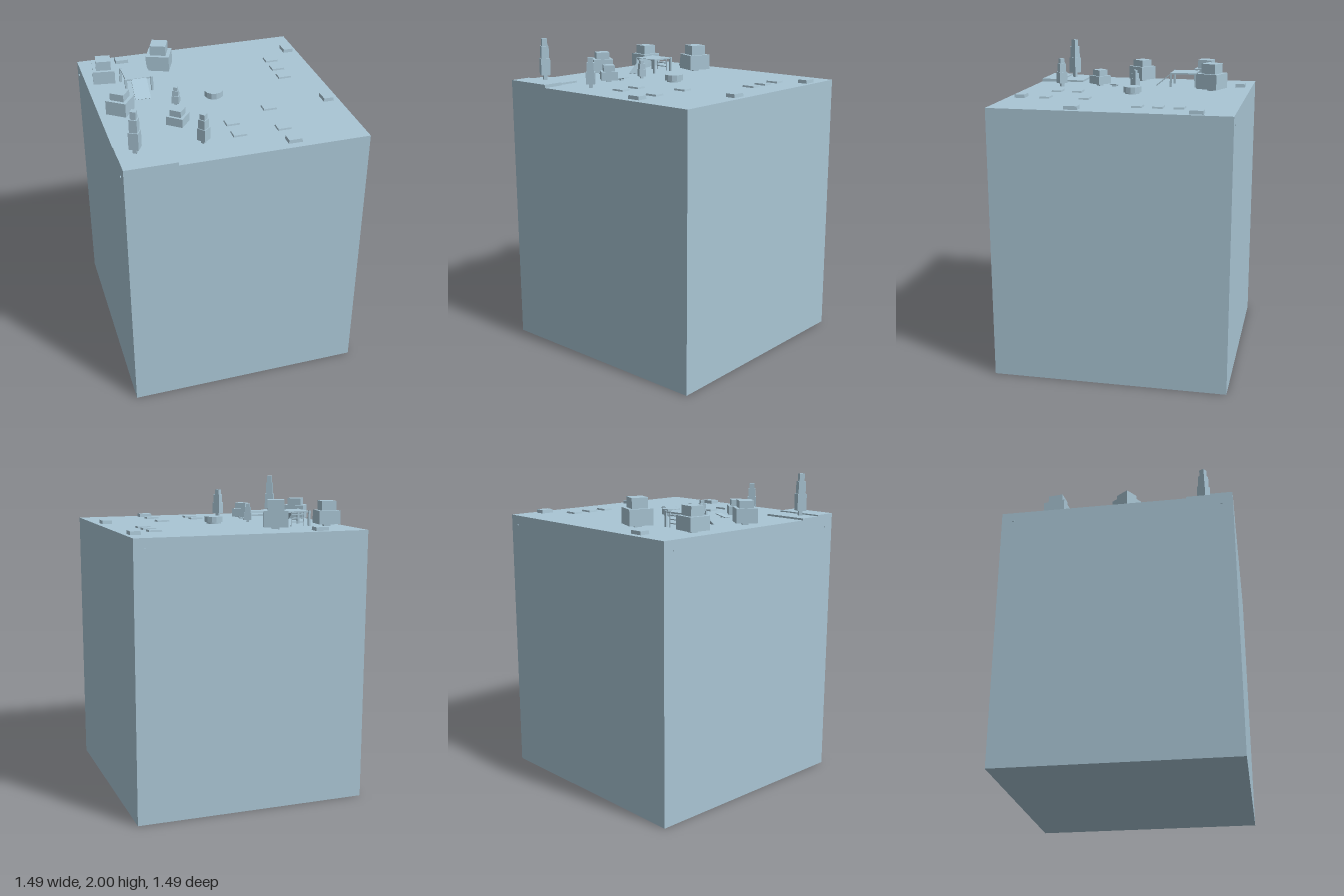
import * as THREE from 'three';

export function createModel() {
  const model = new THREE.Group();
  const paleBlue = new THREE.MeshStandardMaterial({ color: 0xa9c5d4 });
  paleBlue.name = 'paleBlue';
  const GROUND = 1.72;
  const rad = THREE.MathUtils.degToRad;

  function add(parent, name, geometry, x, y, z) {
    const mesh = new THREE.Mesh(geometry, paleBlue);
    mesh.name = name;
    mesh.position.set(x, y, z);
    parent.add(mesh);
    return mesh;
  }
  // Box standing on y, optionally tapered towards its top
  function block(parent, name, [w, h, d], [x, y, z], taper = 1) {
    const geo = new THREE.BoxGeometry(w, h, d);
    const p = geo.attributes.position;
    if (taper !== 1) {
      for (let i = 0; i < p.count; i++) {
        if (p.getY(i) > 0) p.setXYZ(i, p.getX(i) * taper, p.getY(i), p.getZ(i) * taper);
      }
      geo.computeVertexNormals();
    }
    return add(parent, name, geo, x, y + h / 2, z);
  }
  function group(name, x, y, z, degrees = 0) {
    const g = new THREE.Group();
    g.name = name;
    g.position.set(x, y, z);
    g.rotation.y = rad(-degrees);
    model.add(g);
    return g;
  }

  // Ground cube and the two corner terraces
  block(model, 'groundBlock', [1.484, GROUND, 1.484], [0, 0, 0]);
  block(model, 'backTerrace', [0.297, 0.012, 0.15], [-0.5935, GROUND, 0.525]);
  block(model, 'frontTerrace', [0.317, 0.02, 0.142], [-0.5835, GROUND, 0.671]);

  // Low stones: x, z, width, depth, height
  [
    [-0.455, -0.665, 0.086, 0.066, 0.022], [0.68, -0.522, 0.066, 0.086, 0.022],
    [0.672, 0.228, 0.066, 0.086, 0.022], [0.29, 0.662, 0.086, 0.066, 0.022],
    [0.52, -0.397, 0.085, 0.065, 0.011], [0.52, -0.268, 0.085, 0.065, 0.011],
    [0.52, -0.141, 0.085, 0.065, 0.011], [0.282, 0.245, 0.085, 0.065, 0.011],
    [0.282, 0.502, 0.085, 0.065, 0.011], [0.005, 0.364, 0.085, 0.065, 0.011],
    [0.005, 0.502, 0.085, 0.065, 0.011],
  ].forEach(([x, z, w, d, h]) => block(model, 'stone', [w, h, d], [x, GROUND, z], 0.95));

  // Round table
  const table = group('roundTable', 0, GROUND, 0);
  add(table, 'tableFoot', new THREE.CylinderGeometry(0.048, 0.048, 0.012, 12), 0, 0.006, 0);
  const drum = new THREE.CylinderGeometry(0.06, 0.06, 0.037, 12).toNonIndexed();
  drum.computeVertexNormals();
  add(table, 'tableTop', drum, 0, 0.0285, 0);

  // Bushes: x, z, angle, lower size, shoulder height, top height
  [
    [-0.232, -0.492, 22, 0.152, 0.115, 0.18], [-0.623, -0.405, 8, 0.14, 0.1, 0.16],
    [-0.61, 0.052, 36, 0.132, 0.105, 0.15], [-0.31, 0.29, 39, 0.106, 0.07, 0.11],
  ].forEach(([x, z, angle, s, mid, top]) => {
    const bush = group('bush', x, GROUND, z, angle);
    block(bush, 'trunk', [s * 0.3, 0.02, s * 0.3], [0, 0, 0]);
    block(bush, 'lowerLeaves', [s, mid - 0.015, s], [0, 0.015, 0]);
    block(bush, 'upperLeaves', [s * 0.68, top - mid, s * 0.68], [0, mid, 0]);
  });

  // Slender stepped trees: x, z, angle, size, base height, total height
  [
    [-0.63, 0.555, 30, 0.06, 0.012, 0.268], [-0.222, 0.539, 50, 0.056, 0, 0.19],
    [-0.255, 0.034, 27, 0.046, 0, 0.12],
  ].forEach(([x, z, angle, s, base, h]) => {
    const tree = group('slenderTree', x, GROUND + base, z, angle);
    block(tree, 'trunk', [s * 0.4, h * 0.15, s * 0.4], [0, 0, 0]);
    block(tree, 'lowerTier', [s, h * 0.4, s], [0, h * 0.12, 0]);
    block(tree, 'middleTier', [s * 0.8, h * 0.3, s * 0.8], [0, h * 0.52, 0]);
    block(tree, 'topTier', [s * 0.56, h * 0.18, s * 0.56], [0, h * 0.82, 0]);
  });

  // Play frame with deck, legs, ladder and slide
  const frame = group('playFrame', -0.435, GROUND, -0.282);
  block(frame, 'deck', [0.17, 0.01, 0.172], [0, 0.085, 0]);
  for (const sx of [-1, 1]) {
    for (const sz of [-1, 1]) block(frame, 'leg', [0.014, 0.096, 0.014], [sx * 0.084, 0, sz * 0.085]);
    block(frame, 'ladderRail', [0.006, 0.09, 0.006], [sx * 0.042, 0, -0.09]);
  }
  for (let i = 1; i <= 3; i++) block(frame, 'ladderRung', [0.09, 0.006, 0.006], [0, i * 0.024, -0.09]);
  const slide = add(frame, 'slide', new THREE.BoxGeometry(0.1, 0.006, 0.142), 0, 0.045, 0.139);
  slide.rotation.x = Math.atan2(0.09, 0.108);

  // Tilted seesaw
  const seesaw = group('seesaw', -0.291, GROUND, 0.188);
  block(seesaw, 'pivot', [0.012, 0.01, 0.03], [0, 0, 0]);
  const plank = add(seesaw, 'plank', new THREE.BoxGeometry(0.088, 0.005, 0.045), 0, 0.011, 0);
  plank.rotation.z = 0.2;

  // Tiny pegs on the cube's sides
  block(model, 'backPeg', [0.012, 0.008, 0.012], [0.67, 1.655, -0.742]);
  for (const z of [-0.666, 0.67]) block(model, 'sidePeg', [0.012, 0.008, 0.012], [-0.742, 1.655, z]);

  return model;
}
